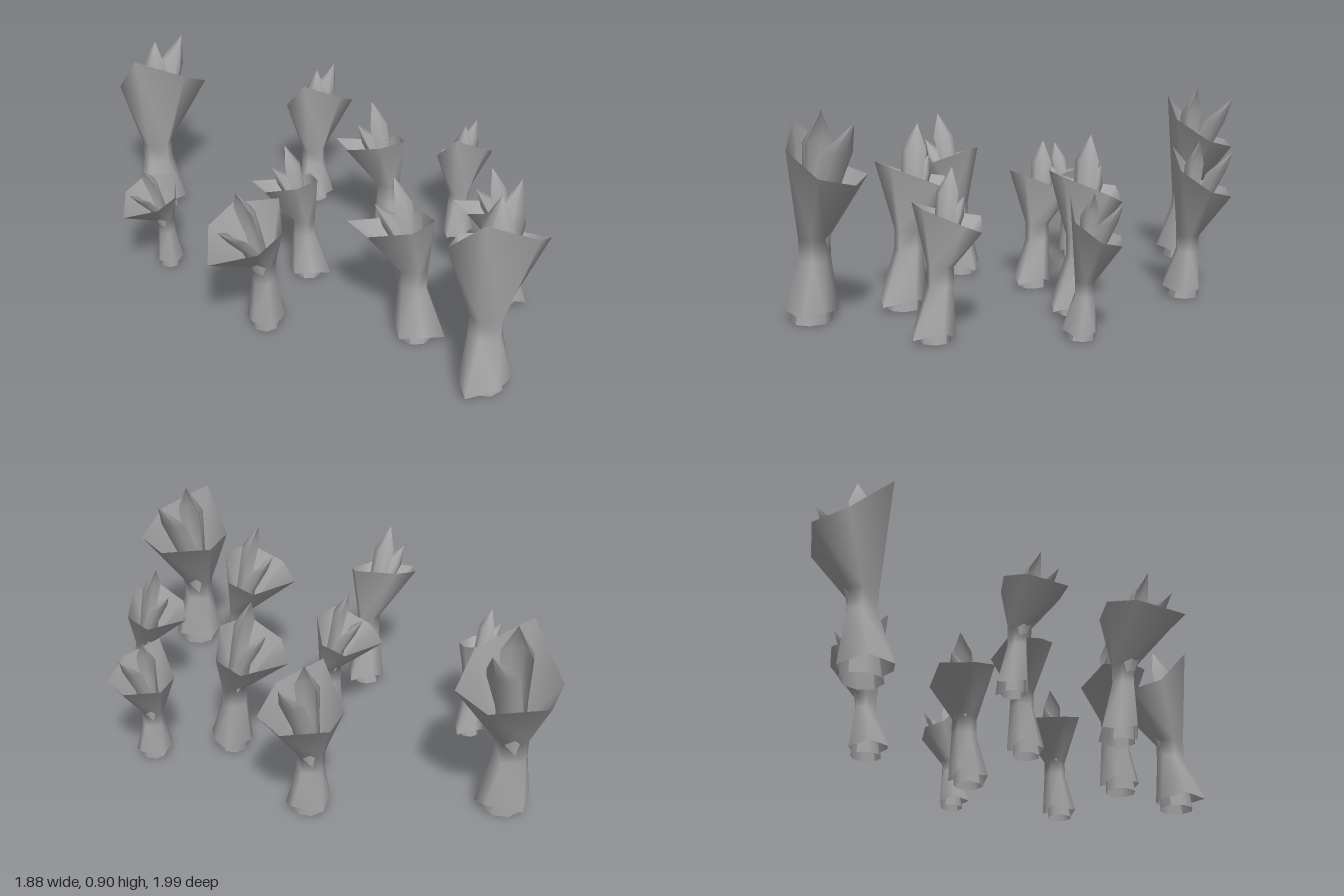
import * as THREE from 'three';

const { lerp } = THREE.MathUtils;

// Three plant forms. The first rim point is the tall corner, above the spreading foot.
// Points are [x, y, z] around the plant's own centre; base and waist are [x, z, radius].
// pinch narrows the foot's corner, twist turns the foot.
const FORMS = {
  tall: {
    rim: [[-0.11, 0.86, 0.15], [0.13, 0.75, 0.11], [0.23, 0.65, -0.05], [0.12, 0.61, -0.17], [-0.13, 0.62, -0.16], [-0.21, 0.65, -0.02]],
    base: [-0.03, 0.075, 0.12], waist: [-0.04, 0.055, 0.075], pinch: 0.3, twist: 0.15,
    tips: [[-0.01, 0.9, 0], [0.12, 0.86, -0.17]],
  },
  wide: {
    rim: [[0.14, 0.635, 0.07], [0.02, 0.645, 0.17], [-0.15, 0.58, 0.08], [-0.21, 0.55, -0.1], [0, 0.51, -0.17], [0.12, 0.56, -0.13]],
    base: [0.09, 0.035, 0.102], waist: [0.07, 0.01, 0.065], pinch: 0, twist: 0,
    tips: [[-0.03, 0.81, -0.015], [-0.1, 0.66, -0.05]],
  },
  slim: {
    rim: [[0.15, 0.635, -0.15], [0.15, 0.57, 0.03], [0.04, 0.55, 0.15], [-0.17, 0.52, 0.16], [-0.16, 0.58, -0.05], [-0.05, 0.62, -0.16]],
    base: [0.075, -0.09, 0.088], waist: [0.07, -0.07, 0.055], pinch: 0, twist: 0,
    tips: [[-0.04, 0.79, 0.04], [-0.12, 0.65, 0.12]],
  },
};

// form, x, z, scale, turn
const PLANTS = [
  ['tall', -0.73, -0.83, 1, 0],
  ['tall', 0.09, -0.79, 0.8, 0],
  ['tall', 0.78, -0.335, 0.66, 0],
  ['tall', 0.65, 0.79, 1, 0],
  ['wide', 0.32, -0.285, 0.95, -0.17],
  ['wide', -0.12, -0.05, 0.85, 0],
  ['wide', 0.78, 0.25, 0.85, -0.17],
  ['wide', 0.3, 0.48, 1, 0],
  ['slim', -0.775, -0.105, 0.76, 0],
  ['slim', -0.35, 0.45, 1, 0],
];

// Skin a surface over rows of points.
function loft(rows, closed) {
  const n = rows[0].length;
  const index = [];
  for (let r = 0; r < rows.length - 1; r++) {
    for (let i = 0; i < (closed ? n : n - 1); i++) {
      const j = (i + 1) % n;
      const a = r * n + i, b = r * n + j;
      index.push(a, a + n, b, b, a + n, b + n);
    }
  }
  const geometry = new THREE.BufferGeometry();
  geometry.setAttribute('position', new THREE.Float32BufferAttribute(rows.flat(2), 3));
  geometry.setIndex(index);
  geometry.computeVertexNormals();
  return geometry;
}

// Outer leaf: a six-sided funnel with a slanted rim, a waist and a ragged flared foot.
function outerLeaf({ rim, base, waist, pinch, twist }) {
  const cx = rim.reduce((s, p) => s + p[0], 0) / 6;
  const cz = rim.reduce((s, p) => s + p[2], 0) / 6;
  const angles = rim.map((p) => Math.atan2(p[2] - cz, p[0] - cx));
  const point = ([x, z, r], y, a) => [x + Math.cos(a) * r, y, z + Math.sin(a) * r];
  const ring = (y) => angles.map((a) => point(waist, y, a));
  const foot = angles.map((a, i) => {
    const d = angles[0] - a;
    const toCorner = Math.atan2(Math.sin(d), Math.cos(d));
    const beside = i === 1 || i === 5;
    const radius = base[2] * (i === 0 ? 1.35 : 1);
    return point([base[0], base[1], radius], i % 2 ? 0.06 : 0.03, a + twist + (beside ? toCorner * pinch : 0));
  });
  return loft([foot, ring(0.27), ring(0.36), rim], true);
}

// Inner leaf: a half-rolled strip that swells above the waist and ends in a point.
// inset moves the swelling inwards, so that the back runs straight up to the tip.
function innerLeaf({ base, waist }, tip, inset, facing) {
  const mid = (t, r) => [
    lerp(waist[0], tip[0], t) - Math.cos(facing) * r * inset,
    lerp(0.34, tip[1], t),
    lerp(waist[1], tip[2], t) - Math.sin(facing) * r * inset,
    r,
  ];
  const stations = [
    [base[0], 0, base[1], base[2] * 0.72],
    [waist[0], 0.3, waist[1], waist[2] * 0.75],
    mid(0.4, base[2] * 0.5),
    mid(0.76, base[2] * 0.6),
    [...tip, 0.001],
  ];
  return loft(stations.map(([x, y, z, r]) => [-2, -1, 0, 1, 2].map((s) => {
    const a = facing + s * 0.78;
    return [x + Math.cos(a) * r, y, z + Math.sin(a) * r];
  })), false);
}

export function createModel() {
  const grey = new THREE.MeshStandardMaterial({ color: 0xa6a6a6, side: THREE.DoubleSide });
  grey.name = 'leafGrey';

  // Geometry shared by every plant of the same form
  const parts = {};
  for (const [name, form] of Object.entries(FORMS)) {
    const [low, high] = [form.rim[0], form.tips[1]];
    const lean = Math.atan2(high[2] - low[2], high[0] - low[0]);
    parts[name] = {
      outerLeaf: outerLeaf(form),
      innerSpear: innerLeaf(form, form.tips[0], 0, lean + Math.PI),
      leaningSpear: innerLeaf(form, form.tips[1], 0.8, lean),
    };
  }

  const model = new THREE.Group();
  model.name = 'plantCluster';
  for (const [form, x, z, scale, turn] of PLANTS) {
    const plant = new THREE.Group();
    plant.name = form + 'Plant';
    for (const [name, geometry] of Object.entries(parts[form])) {
      const mesh = new THREE.Mesh(geometry, grey);
      mesh.name = name;
      plant.add(mesh);
    }
    plant.position.set(x, 0, z);
    plant.rotation.y = turn;
    plant.scale.setScalar(scale);
    model.add(plant);
  }
  return model;
}
